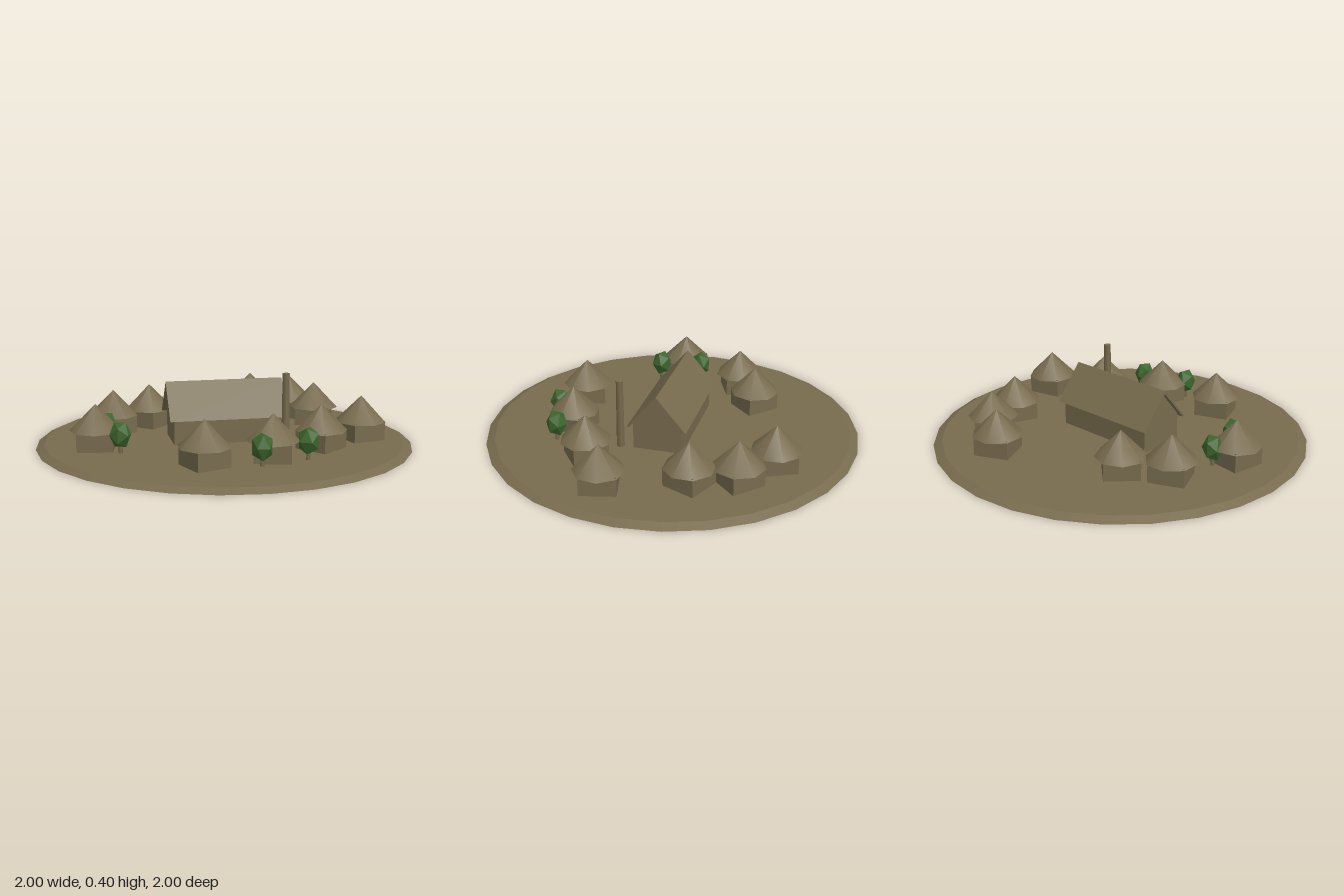
import * as THREE from 'three';

const earth = new THREE.MeshStandardMaterial({ name: 'earth brown', color: 0x776b4e });
const leaf = new THREE.MeshStandardMaterial({ name: 'leaf green', color: 0x3d662e, flatShading: true });

const GROUND = 0.022;

function part(name, geometry, material, x = 0, y = 0, z = 0) {
  const mesh = new THREE.Mesh(geometry, material);
  mesh.name = name;
  mesh.position.set(x, y, z);
  return mesh;
}

// Extrudes a [z, y] outline along x, centred on x = 0
function extrudeAlongX(points, length) {
  const shape = new THREE.Shape(points.map(([z, y]) => new THREE.Vector2(-z, y)));
  const geometry = new THREE.ExtrudeGeometry(shape, { depth: length, bevelEnabled: false });
  geometry.translate(0, 0, -length / 2);
  geometry.rotateY(Math.PI / 2);
  return geometry;
}

// Square hut with an eight-sided conical roof, turned by its place in the ring
function makeHut(x, z) {
  const hut = new THREE.Group();
  hut.name = 'hut';
  hut.add(part('hutWalls', new THREE.BoxGeometry(0.186, 0.11, 0.186), earth, 0, 0.07, 0));
  hut.add(part('hutRoof', new THREE.ConeGeometry(0.135, 0.138, 8), earth, 0, 0.186, 0));
  hut.position.set(x, 0, z);
  hut.rotation.y = Math.atan2(z, x);
  return hut;
}

// Small tree with a faceted crown
function makeTree(x, z) {
  const tree = new THREE.Group();
  tree.name = 'tree';
  tree.add(part('trunk', new THREE.CylinderGeometry(0.009, 0.012, 0.08, 5), earth, 0, 0.055, 0));
  const crown = new THREE.IcosahedronGeometry(0.058, 0);
  crown.scale(1, 1.28, 1);
  tree.add(part('crown', crown, leaf, 0, 0.118, 0));
  tree.position.set(x, 0, z);
  tree.rotation.y = Math.atan2(z, x);
  return tree;
}

// Long hall with gable walls and an overhanging pitched roof
function makeHall() {
  const hall = new THREE.Group();
  hall.name = 'hall';
  const walls = [[-0.13, 0.015], [-0.13, 0.17], [0, 0.32], [0.13, 0.17], [0.13, 0.015]];
  hall.add(part('hallWalls', extrudeAlongX(walls, 0.58), earth));
  const roof = [[-0.157, 0.152], [0, 0.337], [0.157, 0.152], [0.145, 0.15], [0, 0.318], [-0.145, 0.15]];
  hall.add(part('hallRoof', extrudeAlongX(roof, 0.63), earth));
  return hall;
}

export function createModel() {
  const model = new THREE.Group();
  model.name = 'village';

  // Round ground with a sloping rim
  model.add(part('ground', new THREE.CylinderGeometry(0.955, 1, GROUND, 28), earth, 0, GROUND / 2, 0));

  model.add(makeHall());

  // Freestanding chimney beside the hall
  model.add(part('chimney', new THREE.CylinderGeometry(0.019, 0.022, 0.38, 6), earth, 0.287, 0.205, 0.2));

  const huts = [
    [0.285, -0.62], [0.49, -0.475], [0.57, -0.245], [0.71, 0.17], [0.44, 0.335],
    [0.142, 0.508], [-0.21, 0.56], [-0.695, 0.11], [-0.57, -0.245], [-0.355, -0.375],
  ];
  for (const [x, z] of huts) model.add(makeHut(x, z));

  const trees = [[-0.63, 0.005], [-0.582, 0.23], [0.06, 0.62], [0.312, 0.545]];
  for (const [x, z] of trees) model.add(makeTree(x, z));

  return model;
}
